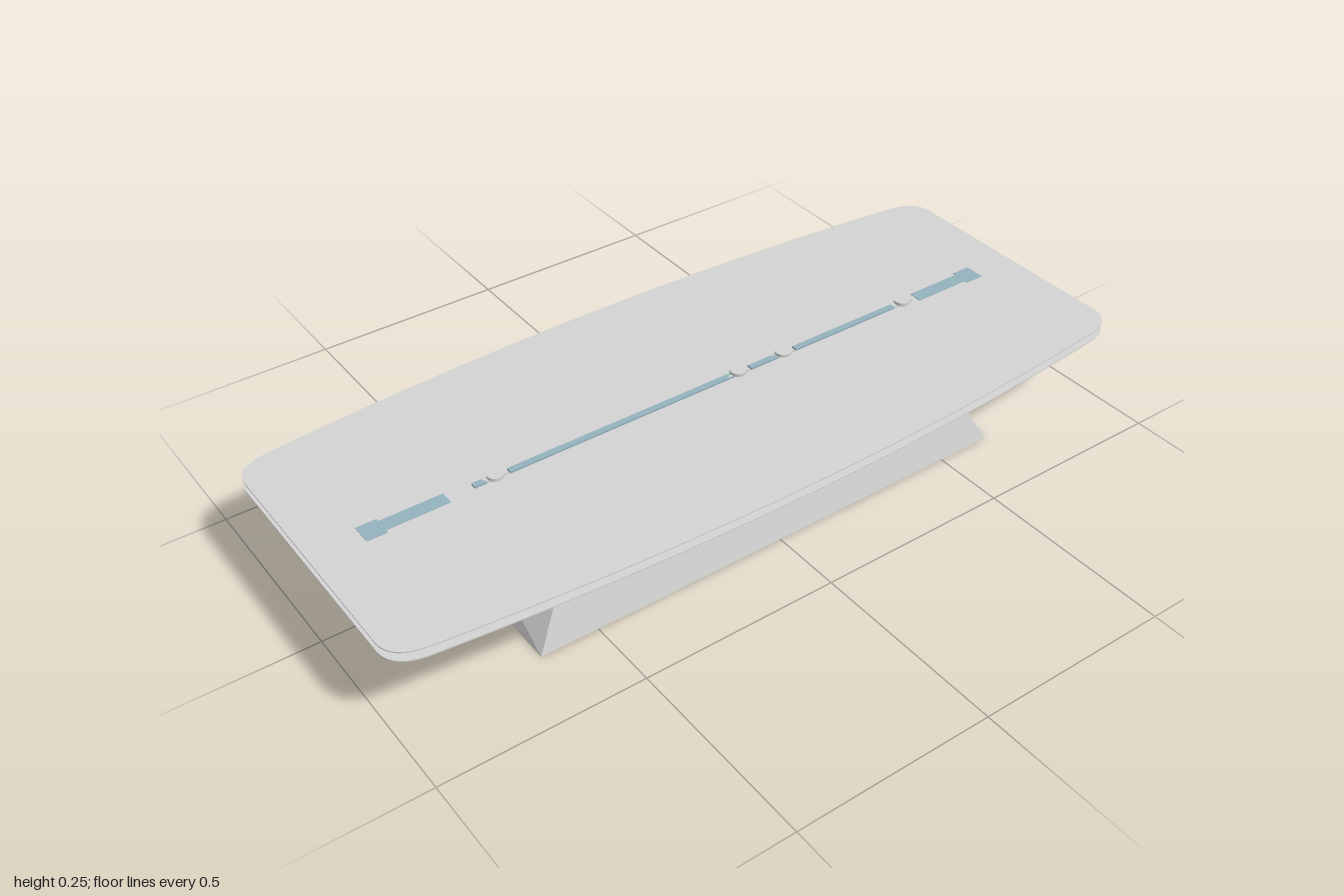
import * as THREE from 'three';

export function createModel() {
  const group = new THREE.Group();
  group.name = 'conferenceTable';
  const grey = new THREE.MeshStandardMaterial({ color: 0xd3d3d3 });
  grey.name = 'light grey';
  const blue = new THREE.MeshStandardMaterial({ color: 0x94b2be });
  blue.name = 'pale blue';

  const add = (name, geometry, material, x = 0, y = 0, z = 0) => {
    const mesh = new THREE.Mesh(geometry, material);
    mesh.name = name;
    mesh.position.set(x, y, z);
    group.add(mesh);
    return mesh;
  };

  // Barrel-sided slab with rounded corners, lying flat with its underside at y
  const slab = (name, inset, y, height) => {
    const end = 1 - inset, mid = 0.425 - inset, corner = 0.375 - inset;
    const flat = corner - 0.075, side = end - 0.09, bow = 2 * mid - corner;
    const s = new THREE.Shape();
    s.moveTo(-flat, -end);
    s.lineTo(flat, -end);
    s.bezierCurveTo(flat + 0.045, -end, corner - 0.006, -end + 0.03, corner, -side);
    s.quadraticCurveTo(bow, 0, corner, side);
    s.bezierCurveTo(corner - 0.006, end - 0.03, flat + 0.045, end, flat, end);
    s.lineTo(-flat, end);
    s.bezierCurveTo(-flat - 0.045, end, -corner + 0.006, end - 0.03, -corner, side);
    s.quadraticCurveTo(-bow, 0, -corner, -side);
    s.bezierCurveTo(-corner + 0.006, -end + 0.03, -flat - 0.045, -end, -flat, -end);
    const g = new THREE.ExtrudeGeometry(s, { depth: height, bevelEnabled: false, curveSegments: 16 });
    g.rotateX(-Math.PI / 2);
    add(name, g, grey, 0, y, 0);
  };
  slab('tableTop', 0, 0.234, 0.003);
  slab('tableRim', 0.022, 0.213, 0.021);
  slab('undersidePanel', 0, 0.21, 0.003);

  // Tapered pedestal whose two ends swell to a point in the middle
  const loop = (x, y, z) => [[-x, y, z], [x, y, z], [x, y, -z], [-x, y, -z]];
  const low = loop(0.317, 0, 0.645), high = loop(0.27, 0.2, 0.54);
  const positions = [];
  const tri = (a, b, c) => positions.push(...a, ...b, ...c);
  const quad = (a, b, c, d) => { tri(a, b, c); tri(a, c, d); };
  for (let i = 0; i < 4; i++) {
    const j = (i + 1) % 4;
    const ring = [low[i], low[j], high[j], high[i]];
    if (i % 2) quad(...ring);
    else {
      const peak = [0, 0.12, i === 0 ? 0.612 : -0.612];
      ring.forEach((p, k) => tri(p, ring[(k + 1) % 4], peak));
    }
  }
  quad(low[3], low[2], low[1], low[0]);
  quad(high[0], high[1], high[2], high[3]);
  const base = new THREE.BufferGeometry();
  base.setAttribute('position', new THREE.Float32BufferAttribute(positions, 3));
  base.computeVertexNormals();
  add('pedestal', base, grey);
  add('pedestalCap', new THREE.BoxGeometry(0.54, 0.011, 1.08), grey, 0, 0.205, 0);

  // Flat inlays near both ends of the top
  for (const [z0, z1, width] of [[-0.88, -0.83, 0.052], [-0.83, -0.675, 0.035],
    [0.67, 0.825, 0.035], [0.825, 0.875, 0.052]]) {
    add('endInlay', new THREE.BoxGeometry(width, 0.002, z1 - z0), blue, 0, 0.2375, (z0 + z1) / 2);
  }

  // Raised centre strips between the connection pucks
  for (const [z0, z1] of [[-0.6, -0.285], [-0.23, -0.15], [-0.1, 0.515], [0.575, 0.605]]) {
    add('centreStrip', new THREE.BoxGeometry(0.016, 0.005, z1 - z0), blue, 0, 0.239, (z0 + z1) / 2);
  }
  for (const z of [-0.63, -0.25, -0.115, 0.55]) {
    add('puckStem', new THREE.BoxGeometry(0.014, 0.005, 0.06), grey, 0, 0.239, z);
    add('puck', new THREE.CylinderGeometry(0.02, 0.02, 0.008, 20), grey, 0, 0.2445, z);
  }
  return group;
}
